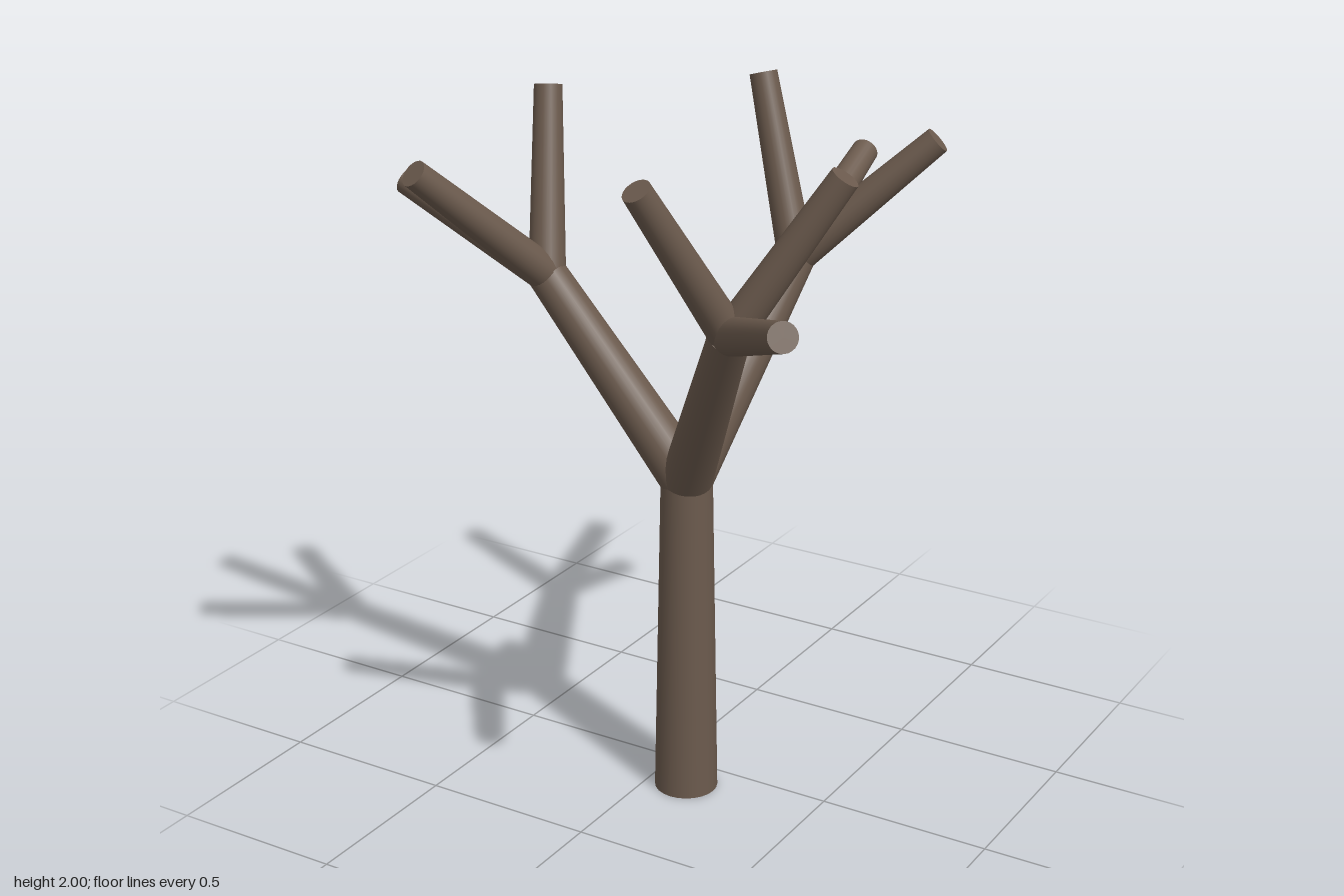
import * as THREE from 'three';

const bark = new THREE.MeshStandardMaterial({ color: 0x6b5a4d, roughness: 0.9 });

// Tapered round limb between two points
function limb(name, from, to, r0, r1) {
  const a = new THREE.Vector3(...from);
  const dir = new THREE.Vector3(...to).sub(a);
  const length = dir.length();
  const geometry = new THREE.CylinderGeometry(r1, r0, length, 24);
  geometry.translate(0, length / 2, 0);
  const mesh = new THREE.Mesh(geometry, bark);
  mesh.name = name;
  mesh.position.copy(a);
  mesh.quaternion.setFromUnitVectors(new THREE.Vector3(0, 1, 0), dir.normalize());
  return mesh;
}

// Each main branch ends at a fork that carries three twigs
const branches = [
  { name: 'rightBranch', fork: [-0.28, 1.5, 0.2],
    tips: [[-0.76, 1.69, 0.183], [-0.35, 1.99, 0.075], [-0.44, 1.845, 0.567]] },
  { name: 'frontBranch', fork: [0.4, 1.5, 0.39],
    tips: [[0.667, 1.93, 0.297], [0.297, 1.93, 0.665], [0.745, 1.666, 0.745]] },
  { name: 'backBranch', fork: [0.22, 1.5, -0.29],
    tips: [[0.076, 1.99, -0.35], [0.568, 1.845, -0.44], [0.187, 1.69, -0.765]] },
];

export function createModel() {
  const tree = new THREE.Group();
  tree.name = 'bareTree';

  // Trunk
  const crown = [0.11, 0.95, 0.113];
  tree.add(limb('trunk', [0.11, 0, 0.113], crown, 0.09, 0.072));

  // Main branches and their twigs
  for (const { name, fork, tips } of branches) {
    const group = new THREE.Group();
    group.name = name;
    group.add(limb('branch', crown, fork, 0.072, 0.055));
    tips.forEach((tip, i) => group.add(limb(`twig${i + 1}`, fork, tip, 0.051, 0.0385)));
    tree.add(group);
  }
  return tree;
}
